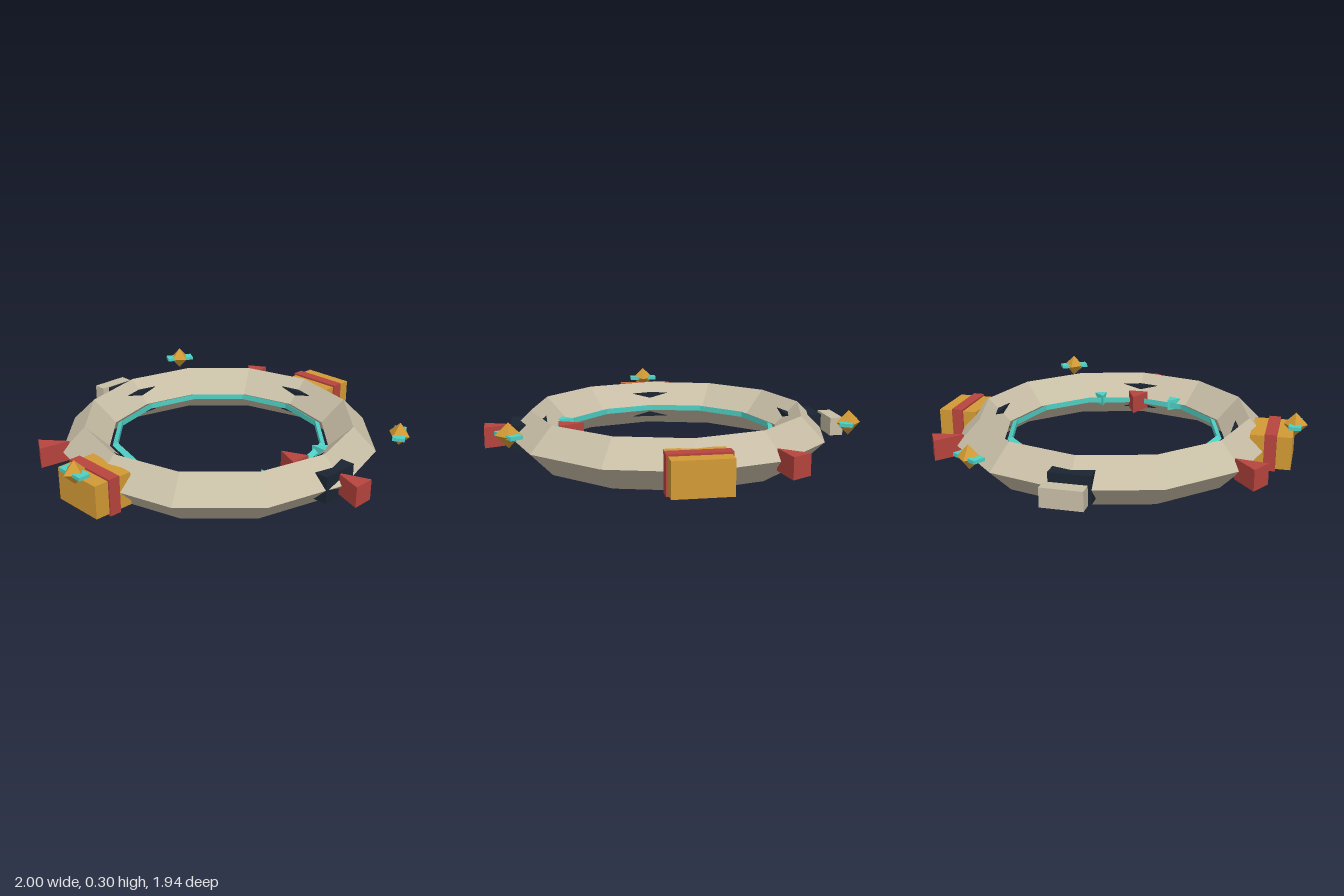
import * as THREE from 'three';

const paint = (color) => new THREE.MeshStandardMaterial({ color, flatShading: true });
const rad = THREE.MathUtils.degToRad;

export function createModel() {
  const model = new THREE.Group();
  model.name = 'stationRing';

  const hull = paint(0xc8bea6), dark = paint(0x1b2533), gold = paint(0xd29a35);
  const red = paint(0xb8443e), cyan = paint(0x4fd1c5);

  // Everything sits around the ring's centre
  const hub = new THREE.Group();
  hub.name = 'ringAssembly';
  hub.position.set(0.035, 0.1265, -0.007);
  model.add(hub);

  function add(parent, name, geometry, material) {
    const flat = geometry.index ? geometry.toNonIndexed() : geometry;
    flat.computeVertexNormals();
    const mesh = new THREE.Mesh(flat, material);
    mesh.name = name;
    parent.add(mesh);
    return mesh;
  }

  // A spoke turns its local +z outward at the given angle (0 = front, 90 = model's left)
  function spoke(name, degrees) {
    const group = new THREE.Group();
    group.name = name;
    group.rotation.y = rad(degrees);
    hub.add(group);
    return group;
  }

  function box(parent, name, w, h, d, z, material, y = 0) {
    add(parent, name, new THREE.BoxGeometry(w, h, d), material).position.set(0, y, z);
  }

  // Triangular prism pointing at the centre, its flat base at baseRadius
  function wedge(degrees, name, width, height, length, baseRadius, material) {
    const prism = new THREE.CylinderGeometry(1, 1, height, 3, 1, false, Math.PI);
    prism.scale(width / Math.sqrt(3), 1, length / 1.5);
    add(spoke(name + 'Mount', degrees), name, prism, material).position.z = baseRadius - length / 3;
  }

  // Faceted main ring and slim inner ring
  const ring = (name, radius, tube, sides, material) =>
    add(hub, name, new THREE.TorusGeometry(radius, tube, sides, 12).rotateX(Math.PI / 2), material);
  ring('mainRing', 0.732, 0.1265, 4, hull);
  ring('innerLightRing', 0.573, 0.018, 3, cyan);

  // Dark blocks set through the ring at the four quarters
  for (const a of [0, 90, 180, 270]) {
    box(spoke('quarterMount', a), 'darkBlock', 0.21, 0.145, 0.186, 0.741, dark);
  }

  // Side pods with a red band
  for (const a of [90, -90]) {
    const pod = spoke('sidePod', a);
    box(pod, 'podBody', 0.29, 0.175, 0.214, 0.858, gold);
    box(pod, 'podBand', 0.31, 0.196, 0.062, 0.857, red);
  }

  // Rear slab
  box(spoke('rearMount', 180), 'rearSlab', 0.21, 0.098, 0.072, 0.926, hull);

  // Outer fins, inner pointer and small inner teeth
  for (const a of [0, 120, 240]) wedge(a, 'outerFin', 0.118, 0.11, 0.158, 0.975, red);
  wedge(0, 'innerPointer', 0.118, 0.1, 0.134, 0.586, red);
  for (const a of [-22, 0, 22]) wedge(a, 'innerTooth', 0.072, 0.06, 0.081, 0.615, cyan);

  // Floating beacons: an axis-aligned diamond with a flat bar along the tangent
  for (const a of [30, 150, 270]) {
    box(spoke('beaconMount', a), 'beaconBar', 0.16, 0.018, 0.064, 0.971, cyan, 0.114);
    add(hub, 'beaconDiamond', new THREE.OctahedronGeometry(0.063), gold)
      .position.set(0.971 * Math.sin(rad(a)), 0.114, 0.971 * Math.cos(rad(a)));
  }

  return model;
}
